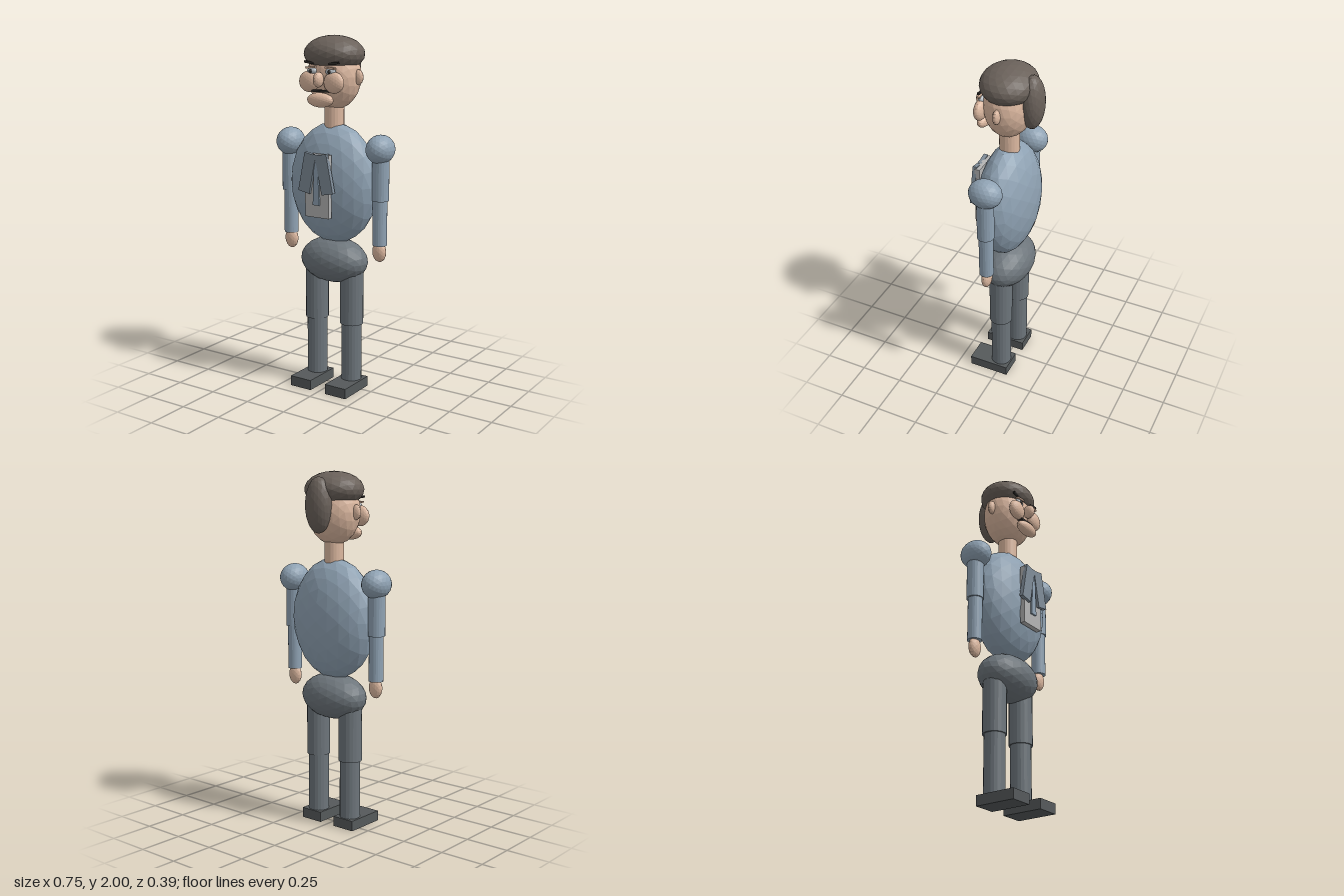
import * as THREE from 'three';

const material = (color) => new THREE.MeshStandardMaterial({ color, flatShading: true });

export function createModel() {
  const model = new THREE.Group();
  model.name = 'standingFigure';

  const cloth = material(0x8fa2b3);
  const lapelCloth = material(0x7f8c98);
  const shirtGrey = material(0xb4b4b4);
  const trousers = material(0x6d757b);
  const shoe = material(0x55595b);
  const skin = material(0xdcb8a0);
  const hair = material(0x6a615a);
  const dark = material(0x2e2b29);
  const eyeGrey = material(0xb9c0c6);

  const add = (name, geometry, mat, [x, y, z], tilt = 0) => {
    const mesh = new THREE.Mesh(geometry, mat);
    mesh.name = name;
    mesh.position.set(x, y, z);
    mesh.rotation.z = tilt;
    model.add(mesh);
    return mesh;
  };
  // Faceted ellipsoid from centre and radii
  const blob = (name, mat, centre, radii, detail = 3) =>
    add(name, new THREE.IcosahedronGeometry(1, detail).scale(...radii), mat, centre);
  // Upright cylinder between two heights
  const post = (name, mat, x, bottom, top, radius) =>
    add(name, new THREE.CylinderGeometry(radius, radius, top - bottom, 20), mat, [x, (bottom + top) / 2, 0]);
  const box = (name, mat, centre, size, tilt) =>
    add(name, new THREE.BoxGeometry(...size), mat, centre, tilt);

  // Body
  blob('torso', cloth, [0, 1.188, 0], [0.273, 0.34, 0.157]);
  blob('hips', trousers, [0, 0.747, 0], [0.208, 0.13, 0.138]);
  post('neck', skin, 0, 1.48, 1.64, 0.055);

  // Head and hair
  blob('head', skin, [0, 1.78, 0], [0.155, 0.183, 0.133]);
  blob('hairCap', hair, [0, 1.9, 0], [0.173, 0.1, 0.152]);
  blob('backHair', hair, [0, 1.818, -0.13], [0.08, 0.153, 0.065]);

  // Face
  blob('nose', skin, [0, 1.77, 0.155], [0.026, 0.042, 0.036], 2);
  blob('chin', skin, [0, 1.66, 0.137], [0.083, 0.04, 0.035]);
  box('mouth', dark, [0, 1.708, 0.125], [0.11, 0.012, 0.03]);

  // Shirt front and tie
  box('shirtFront', shirtGrey, [0, 1.195, 0.158], [0.155, 0.35, 0.03]);
  const tie = new THREE.Shape([[-0.011, 1.35], [-0.021, 1.09], [0.021, 1.09], [0.011, 1.35]]
    .map(([x, y]) => new THREE.Vector2(x, y)));
  add('tie', new THREE.ExtrudeGeometry(tie, { depth: 0.022, bevelEnabled: false }), cloth, [0, 0, 0.161]);
  box('tieKnot', lapelCloth, [0, 1.35, 0.174], [0.028, 0.04, 0.026]);

  // Mirrored parts
  for (const s of [-1, 1]) {
    const side = s > 0 ? 'left' : 'right';

    // Arms
    blob(side + 'Shoulder', cloth, [s * 0.297, 1.4, 0], [0.076, 0.08, 0.093]);
    post(side + 'UpperArm', cloth, s * 0.3, 1.12, 1.4, 0.047);
    post(side + 'Forearm', cloth, s * 0.298, 0.87, 1.16, 0.04);
    blob(side + 'Hand', skin, [s * 0.296, 0.832, 0], [0.042, 0.058, 0.028], 2);

    // Legs
    post(side + 'Thigh', trousers, s * 0.118, 0.39, 0.75, 0.066);
    post(side + 'Shin', trousers, s * 0.117, 0.04, 0.42, 0.058);
    box(side + 'Shoe', shoe, [s * 0.118, 0.029, 0.054], [0.137, 0.058, 0.237]);

    // Lapel, splayed outward at the bottom
    box(side + 'Lapel', lapelCloth, [s * 0.055, 1.265, 0.176], [0.074, 0.218, 0.024], s * 0.2);

    // Ear, cheek, eye and brow
    blob(side + 'Ear', skin, [s * 0.155, 1.78, 0], [0.03, 0.042, 0.02], 2);
    blob(side + 'Cheek', skin, [s * 0.08, 1.755, 0.126], [0.062, 0.058, 0.032]);
    blob(side + 'Eye', eyeGrey, [s * 0.06, 1.812, 0.125], [0.032, 0.02, 0.02], 2);
    blob(side + 'Pupil', dark, [s * 0.06, 1.812, 0.143], [0.01, 0.012, 0.007], 1);
    box(side + 'Eyelid', skin, [s * 0.062, 1.832, 0.134], [0.06, 0.01, 0.02], s * -0.1);
    box(side + 'Brow', dark, [s * 0.08, 1.857, 0.125], [0.06, 0.012, 0.012], s * 0.12);
  }

  return model;
}
